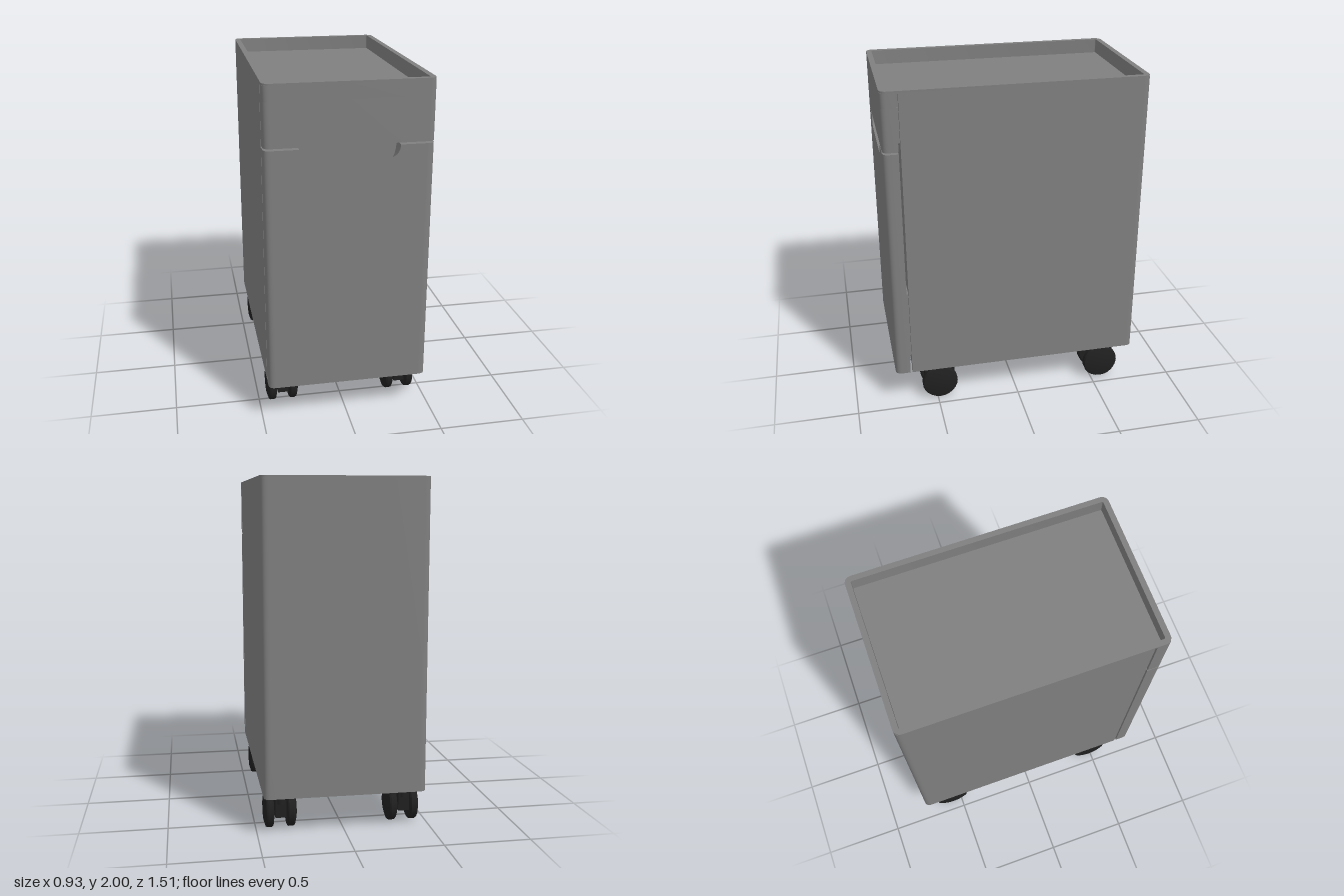
import * as THREE from 'three';
import { toCreasedNormals } from 'three/addons/utils/BufferGeometryUtils.js';

const W = 0.465, BACK = -0.755, FRONT = 0.755; // half width and ends of the footprint
const R = 0.04, BOTTOM = 0.227;
const grey = new THREE.MeshStandardMaterial({ color: 0x7f7f7f });
const black = new THREE.MeshStandardMaterial({ color: 0x202020 });

function add(parent, name, geometry, material = grey) {
  const mesh = new THREE.Mesh(geometry, material);
  mesh.name = name;
  parent.add(mesh);
  return mesh;
}

function box(parent, name, x0, x1, y0, y1, z0, z1, material) {
  const mesh = add(parent, name, new THREE.BoxGeometry(x1 - x0, y1 - y0, z1 - z0), material);
  mesh.position.set((x0 + x1) / 2, (y0 + y1) / 2, (z0 + z1) / 2);
  return mesh;
}

// Extrudes a plan shape, drawn in (x, -z), from y0 up to y1
function upright(shape, y0, y1) {
  const g = new THREE.ExtrudeGeometry(shape, { depth: y1 - y0, bevelEnabled: false, curveSegments: 8 });
  g.rotateX(-Math.PI / 2).translate(0, y0, 0);
  return toCreasedNormals(g, 0.5);
}

// Plan outline with square corners at zOpen and round ones at zEnd;
// t is the wall thickness of a U shape, or 0 for a solid slab
function slabShape(zOpen, zEnd, t = 0) {
  const vo = -zOpen, ve = -zEnd, s = Math.sign(ve - vo);
  const p = new THREE.Shape();
  p.moveTo(-W, vo);
  p.lineTo(-W, ve - s * R);
  p.quadraticCurveTo(-W, ve, -W + R, ve);
  p.lineTo(W - R, ve);
  p.quadraticCurveTo(W, ve, W, ve - s * R);
  p.lineTo(W, vo);
  if (t) {
    p.lineTo(W - t, vo);
    p.lineTo(W - t, ve - s * t);
    p.lineTo(-W + t, ve - s * t);
    p.lineTo(-W + t, vo);
  }
  p.closePath();
  return p;
}

// Rounded rectangle centred on the origin
function roundRect(w, d, r, Type = THREE.Shape) {
  const p = new Type();
  p.moveTo(-w + r, -d);
  p.lineTo(w - r, -d);
  p.absarc(w - r, -d + r, r, -Math.PI / 2, 0);
  p.lineTo(w, d - r);
  p.absarc(w - r, d - r, r, 0, Math.PI / 2);
  p.lineTo(-w + r, d);
  p.absarc(-w + r, d - r, r, Math.PI / 2, Math.PI);
  p.lineTo(-w, -d + r);
  p.absarc(-w + r, -d + r, r, Math.PI, Math.PI * 1.5);
  return p;
}

// Rounded rectangle with the tray opening cut out
function trayRing(w, d, r) {
  const p = roundRect(w, d, r);
  p.holes.push(roundRect(0.433, 0.723, 0.008, THREE.Path));
  return p;
}

function cabinet() {
  const g = new THREE.Group();
  g.name = 'cabinet';
  add(g, 'shell', upright(slabShape(0.655, BACK, 0.025), BOTTOM, 1.99));
  box(g, 'shellFront', -W + 0.025, W - 0.025, BOTTOM + 0.02, 1.9, 0.63, 0.652);
  // Recessed underside with a cross rail at each end for the casters
  box(g, 'bottomPanel', -0.44, 0.44, 0.3, 0.32, -0.73, 0.63);
  box(g, 'frontRail', -0.44, 0.44, 0.26, 0.3, 0.45, 0.63);
  box(g, 'backRail', -0.44, 0.44, 0.26, 0.3, -0.73, -0.54);
  // Dark runners along the side walls
  for (const s of [-1, 1]) {
    box(g, 'sideRunner', s * 0.4325 - 0.0075, s * 0.4325 + 0.0075, 0.25, 0.3, -0.4, 0.45, black);
  }
  return g;
}

function tray() {
  const g = new THREE.Group();
  g.name = 'topTray';
  add(g, 'trayRim', upright(trayRing(W, FRONT, R), 1.99, 2));
  add(g, 'trayWall', upright(trayRing(0.443, 0.733, 0.015), 1.905, 1.99));
  box(g, 'trayFloor', -0.435, 0.435, 1.905, 1.915, -0.725, 0.725);
  return g;
}

function drawerFronts() {
  const g = new THREE.Group();
  g.name = 'drawerFronts';
  const inner = 0.667;

  // Upper front, hollowed at the top to clear the tray
  add(g, 'upperFront', upright(slabShape(inner, FRONT), 1.658, 1.905));
  add(g, 'upperFrontLip', upright(slabShape(inner, FRONT, 0.022), 1.905, 1.99));

  // Lower front with a finger notch in its top edge
  const top = 1.647, x = W - R, n = 0.275, low = 1.578;
  const p = new THREE.Shape();
  p.moveTo(-x, BOTTOM);
  p.lineTo(x, BOTTOM);
  p.lineTo(x, top);
  p.lineTo(n, top);
  p.quadraticCurveTo(n - 0.005, low, n - 0.065, low);
  p.lineTo(-n + 0.065, low);
  p.quadraticCurveTo(-n + 0.005, low, -n, top);
  p.lineTo(-x, top);
  p.closePath();
  const panel = new THREE.ExtrudeGeometry(p, { depth: FRONT - inner, bevelEnabled: false, curveSegments: 10 });
  panel.translate(0, 0, inner);
  // The notch floor falls away towards the back as a finger grip
  const pos = panel.attributes.position;
  for (let i = 0; i < pos.count; i++) {
    const y = pos.getY(i);
    if (Math.abs(pos.getX(i)) < n && pos.getZ(i) < inner + 0.01) pos.setY(i, y - 0.75 * (top - y));
  }
  panel.computeVertexNormals();
  add(g, 'lowerFront', toCreasedNormals(panel, 0.5));

  // Rounded vertical edges of the lower front
  for (const s of [-1, 1]) {
    const c = new THREE.Shape();
    c.moveTo(s * x, -inner);
    c.lineTo(s * W, -inner);
    c.lineTo(s * W, -FRONT + R);
    c.quadraticCurveTo(s * W, -FRONT, s * x, -FRONT);
    c.closePath();
    add(g, 'lowerFrontEdge', upright(c, BOTTOM, top));
  }

  // Spacers bridging the gap to the cabinet
  for (const [y0, y1] of [[0.32, 0.75], [1.695, 1.895]]) {
    box(g, 'drawerBoxEnd', -0.42, 0.42, y0, y1, 0.64, 0.67);
  }
  return g;
}

// Twin-wheel caster; its origin is below the stem and the wheels trail towards -z
function caster() {
  const g = new THREE.Group();
  g.name = 'caster';
  const axleY = 0.11, axleZ = -0.072;
  const profile = [[0, -0.027], [0.1, -0.027], [0.109, -0.02], [0.11, 0.006], [0.104, 0.016], [0.07, 0.026], [0, 0.028]]
    .map(([r, h]) => new THREE.Vector2(r, h));
  const wheelGeometry = toCreasedNormals(new THREE.LatheGeometry(profile, 24), 0.5);
  for (const s of [-1, 1]) {
    const wheel = add(g, 'wheel', wheelGeometry, black);
    wheel.rotation.z = -s * Math.PI / 2;
    wheel.position.set(s * 0.067, axleY, axleZ);
  }
  const axle = add(g, 'axle', new THREE.CylinderGeometry(0.015, 0.015, 0.1, 12), black);
  axle.rotation.z = Math.PI / 2;
  axle.position.set(0, axleY, axleZ);
  box(g, 'fork', -0.032, 0.032, 0.08, 0.2, -0.1, 0.018, black);
  const stem = add(g, 'stem', new THREE.CylinderGeometry(0.027, 0.027, 0.105, 16), black);
  stem.position.y = 0.2125;
  const plate = add(g, 'mountingDisc', new THREE.CylinderGeometry(0.042, 0.042, 0.012, 20));
  plate.position.y = 0.256;
  return g;
}

export function createModel() {
  const model = new THREE.Group();
  model.name = 'rollingPedestal';
  model.add(cabinet(), tray(), drawerFronts());
  for (const x of [-0.36, 0.36]) {
    const front = caster();
    front.position.set(x, 0, 0.555);
    const back = caster();
    back.position.set(x, 0, -0.632);
    back.rotation.y = Math.PI;
    model.add(front, back);
  }
  return model;
}
